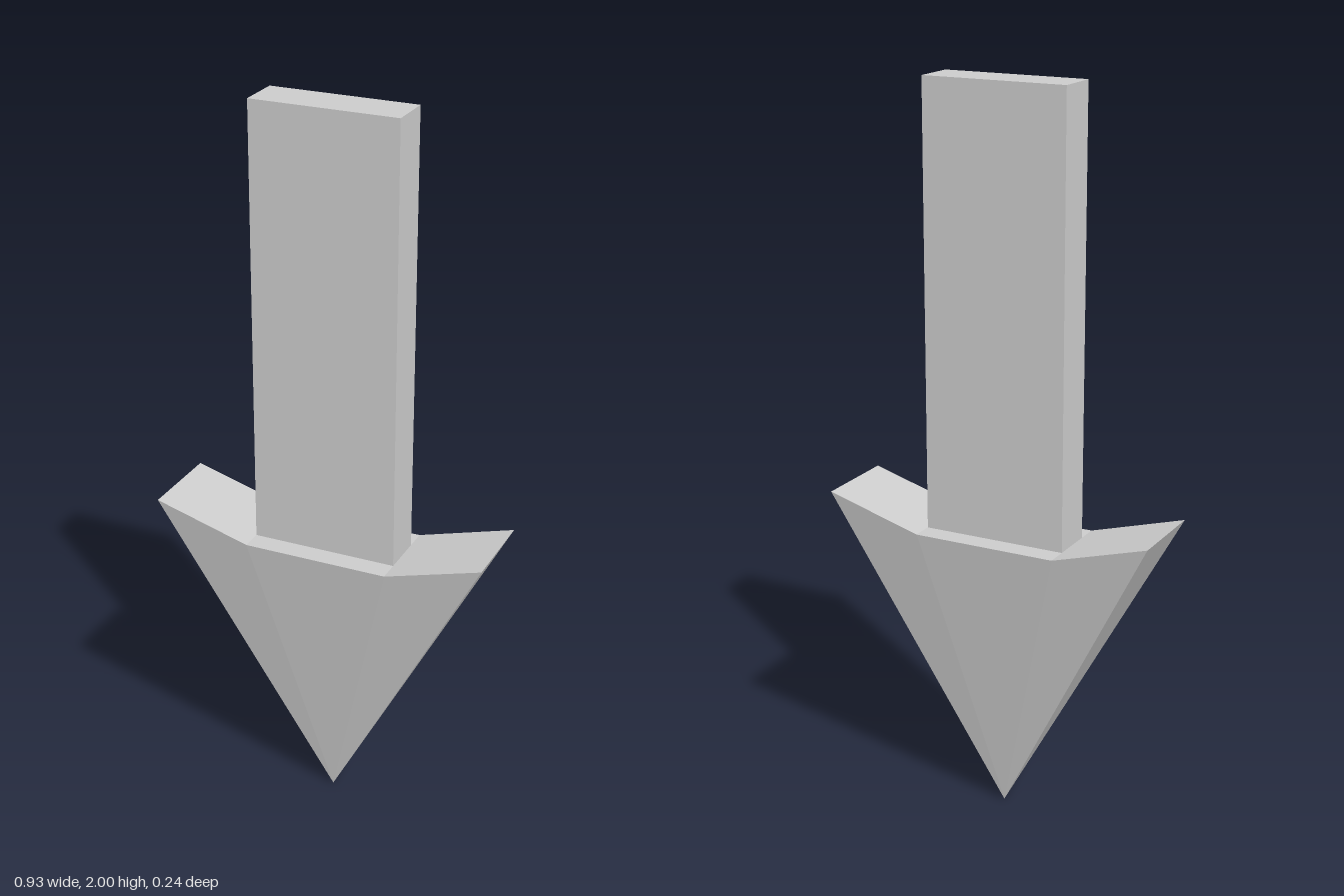
import * as THREE from 'three';

export function createModel() {
  const group = new THREE.Group();
  const material = new THREE.MeshStandardMaterial({ color: 0xcccccc, flatShading: true });

  // Flat rectangular shaft
  const shaft = new THREE.Mesh(new THREE.BoxGeometry(0.4, 1.2, 0.122), material);
  shaft.name = 'shaft';
  shaft.position.y = 1.4;
  group.add(shaft);

  // Barbed head: extruded outline whose thickness pinches to a point at the tip
  const outline = new THREE.Shape([
    [0, 0], [0.466, 0.877], [0.2, 0.8], [-0.2, 0.8], [-0.466, 0.877],
  ].map(([x, y]) => new THREE.Vector2(x, y)));
  const depth = 0.243;
  const geometry = new THREE.ExtrudeGeometry(outline, { depth, bevelEnabled: false });
  geometry.translate(0, 0, -depth / 2);
  const position = geometry.attributes.position;
  for (let i = 0; i < position.count; i++) {
    if (position.getY(i) < 0.01) position.setZ(i, 0);
  }
  geometry.computeVertexNormals();
  const head = new THREE.Mesh(geometry, material);
  head.name = 'arrowHead';
  group.add(head);

  return group;
}
